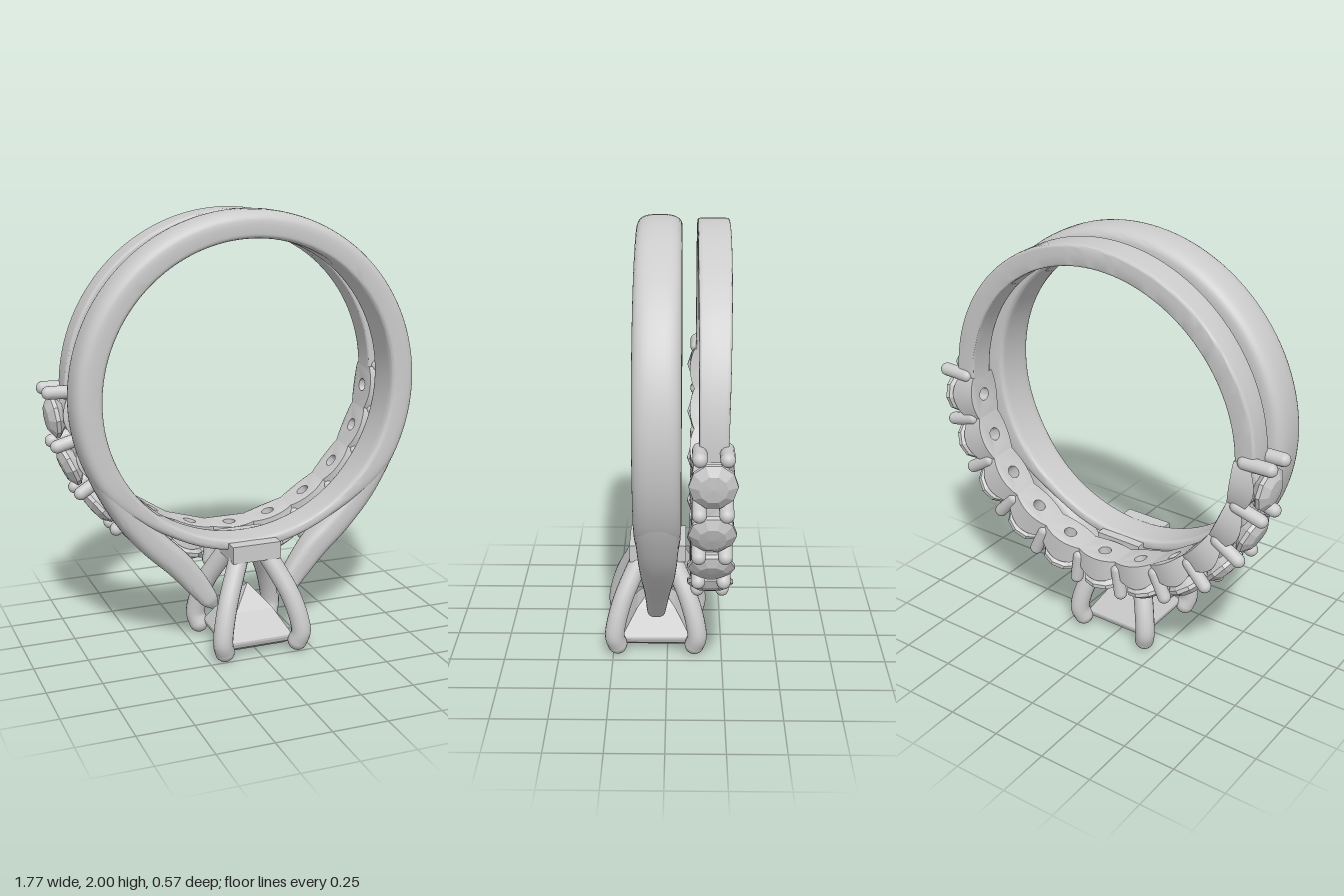
import * as THREE from 'three';
import { toCreasedNormals } from 'three/addons/utils/BufferGeometryUtils.js';

const metal = new THREE.MeshStandardMaterial({ color: 0xcccccc });
const stone = new THREE.MeshStandardMaterial({ color: 0xcccccc, flatShading: true });
const CY = 1.2;        // height of the finger hole's centre
const BAND_Z = -0.188; // depth of the rear band
const { lerp, smoothstep } = THREE.MathUtils;

function add(parent, name, geometry, material = metal) {
  const mesh = new THREE.Mesh(geometry, material);
  mesh.name = name;
  parent.add(mesh);
  return mesh;
}

// Signed power, for superellipse sections
const spow = (v, p) => Math.sign(v) * Math.abs(v) ** p;

// Joins sections { x, y, z, nx, ny, ht, hw }: ht is half thickness along the
// normal, hw is half width in z. Sections run counter-clockwise.
function loft(sections, { closed = false, outer = 0.7, inner = 0.3, sides = 32 } = {}) {
  const list = closed ? [...sections, sections[0]]
    : [{ ...sections[0], ht: 0, hw: 0 }, ...sections, { ...sections.at(-1), ht: 0, hw: 0 }];
  const pos = [], index = [];
  list.forEach((s, i) => {
    for (let k = 0; k <= sides; k++) {
      const b = ((k % sides) / sides) * Math.PI * 2;
      const c = Math.cos(b), p = c > 0 ? outer : inner;
      const t = s.ht * spow(Math.abs(c) < 1e-9 ? 0 : c, p);
      const sn = Math.sin(b);
      pos.push(s.x + s.nx * t, s.y + s.ny * t, s.z + s.hw * spow(Math.abs(sn) < 1e-9 ? 0 : sn, p));
      if (i < list.length - 1 && k < sides) {
        const a = i * (sides + 1) + k, n = a + sides + 1;
        index.push(a, n, a + 1, n, n + 1, a + 1);
      }
    }
  });
  const g = new THREE.BufferGeometry();
  g.setAttribute('position', new THREE.Float32BufferAttribute(pos, 3));
  g.setIndex(index);
  return toCreasedNormals(g, 0.7);
}

// Section of a circular hoop at angle a
function hoopSection(a, r0, r1, hw, z) {
  const nx = Math.cos(a), ny = Math.sin(a), r = (r0 + r1) / 2;
  return { x: nx * r, y: CY + ny * r, z, nx, ny, ht: (r1 - r0) / 2, hw };
}

// Front ring: full hoop, thinner below where the arms leave it
function frontShank() {
  const sections = [];
  for (let i = 0; i < 120; i++) {
    const a = (i / 120) * Math.PI * 2;
    const low = smoothstep(-Math.sin(a), 0.45, 0.9);
    sections.push(hoopSection(a, 0.678, lerp(0.805 - 0.005 * Math.abs(Math.sin(a)), 0.735, low),
      lerp(0.099, 0.08, low), 0.036));
  }
  return loft(sections, { closed: true });
}

// Arm sweeping from the hoop down to the head
function cathedralArm(side) {
  // x, y, half thickness, half width, z
  const stations = [
    [0.165, 0.2, 0.02, 0.022, 0.05], [0.19, 0.235, 0.042, 0.042, 0.05],
    [0.25, 0.32, 0.055, 0.05, 0.046], [0.33, 0.42, 0.062, 0.06, 0.042],
    [0.45, 0.54, 0.064, 0.074, 0.038], [0.56, 0.675, 0.063, 0.085, 0.036],
    [0.645, 0.825, 0.062, 0.093, 0.036], [0.698, 0.95, 0.06, 0.096, 0.036],
  ];
  if (side < 0) stations.reverse();
  const path = new THREE.CatmullRomCurve3(stations.map(s => new THREE.Vector3(s[0] * side, s[1], s[4])));
  const sections = [], steps = 36;
  for (let i = 0; i <= steps; i++) {
    const t = i / steps, p = path.getPoint(t), d = path.getTangent(t);
    const f = t * (stations.length - 1), j = Math.min(Math.floor(f), stations.length - 2);
    const mix = n => lerp(stations[j][n], stations[j + 1][n], f - j);
    const len = Math.hypot(d.x, d.y);
    sections.push({ x: p.x, y: p.y, z: p.z, nx: d.y / len, ny: -d.x / len, ht: mix(2), hw: mix(3) });
  }
  return loft(sections, { outer: 0.75, inner: 0.6 });
}

// Square-cut stone in four curved corner prongs
function buildHead() {
  const head = new THREE.Group();
  head.name = 'head';
  head.position.z = 0.053;
  const q = Math.SQRT2;
  const profile = [[0, 0.014], [0.125, 0.02], [0.152, 0.04], [0.16, 0.06], [0.16, 0.07],
    [0.09, 0.185], [0, 0.29]].map(([x, y]) => new THREE.Vector2(x * q, y));
  add(head, 'centreStone', new THREE.LatheGeometry(profile, 4, Math.PI / 4), stone);
  for (const sx of [-1, 1]) for (const sz of [-1, 1]) {
    const pts = [[0.065, 0.45], [0.105, 0.37], [0.15, 0.27], [0.182, 0.16], [0.19, 0.09], [0.178, 0.046]]
      .map(([d, y]) => new THREE.Vector3(d * sx, y, d * sz));
    add(head, 'cornerProng', new THREE.TubeGeometry(new THREE.CatmullRomCurve3(pts), 28, 0.045, 16));
    add(head, 'prongTip', new THREE.SphereGeometry(0.045, 16, 12)).position.copy(pts.at(-1));
  }
  const base = add(head, 'headBase', new THREE.BoxGeometry(0.23, 0.08, 0.26));
  base.position.set(0, 0.476, -0.008);
  return head;
}

// One scalloped setting of the rear band: pierced plate bent round the hoop
function settingGeometry(step) {
  const h = step / 2, n = 16, shape = new THREE.Shape();
  const width = u => 0.064 + 0.022 * Math.cos((u / h) * Math.PI / 2) ** 0.8;
  const us = Array.from({ length: n + 1 }, (_, i) => -h + (step * i) / n);
  const safe = u => width(Math.max(-h * 0.9999, Math.min(h * 0.9999, u)));
  shape.setFromPoints([
    ...us.map(u => new THREE.Vector2(u, -safe(u))),
    ...us.reverse().map(u => new THREE.Vector2(u, safe(u))),
  ]);
  const hole = new THREE.Path();
  hole.absellipse(0, 0, 0.03 / 0.7, 0.03, 0, Math.PI * 2, true);
  shape.holes.push(hole);
  const g = new THREE.ExtrudeGeometry(shape, { depth: 1, bevelEnabled: false, curveSegments: 10 });
  const p = g.attributes.position;
  for (let i = 0; i < p.count; i++) {
    const u = p.getX(i), z = p.getY(i);
    const top = 0.765 + 0.04 * Math.cos((u / h) * Math.PI / 2);
    const r = lerp(0.69, top, p.getZ(i));
    p.setXYZ(i, Math.cos(u) * r, Math.sin(u) * r, z);
  }
  return toCreasedNormals(g, 0.6);
}

// Rear band: plain upper half, eleven round stones with paired prongs below
function buildRearBand() {
  const band = new THREE.Group();
  band.name = 'rearBand';
  const sections = [];
  for (let i = 0; i <= 64; i++) {
    const a = lerp(-0.02, Math.PI + 0.02, i / 64);
    sections.push(hoopSection(a, 0.69, 0.785, 0.058 + 0.012 * Math.sin(a), lerp(-0.19, -0.197, Math.sin(a))));
  }
  add(band, 'plainBand', loft(sections, { outer: 0.2, inner: 0.15 }));

  const count = 11, start = 0.025, step = (Math.PI + 2 * start) / count;
  const setting = settingGeometry(step);
  const gem = new THREE.LatheGeometry([[0, -0.085], [0.098, -0.01], [0.098, 0.008], [0.058, 0.033], [0, 0.037]]
    .map(([x, y]) => new THREE.Vector2(x, y)), 10);
  gem.rotateZ(-Math.PI / 2).translate(0.83, 0, 0);
  const prong = new THREE.CapsuleGeometry(0.03, 0.12, 6, 14);
  prong.rotateZ(-Math.PI / 2).translate(0.795, 0, 0);

  const spoke = (name, angle) => {
    const g = new THREE.Group();
    g.name = name;
    g.position.set(0, CY, BAND_Z);
    g.rotation.z = angle;
    band.add(g);
    return g;
  };
  for (let i = 0; i <= count; i++) {
    const pair = spoke('prongPair', start - i * step);
    for (const s of [-1, 1]) add(pair, 'bandProng', prong).position.z = s * 0.054;
    if (i === count) break;
    const seat = spoke('stoneSetting', start - (i + 0.5) * step);
    add(seat, 'scallopedSeat', setting);
    add(seat, 'roundStone', gem, stone);
  }
  return band;
}

export function createModel() {
  const model = new THREE.Group();
  model.name = 'ringPair';
  const front = new THREE.Group();
  front.name = 'frontRing';
  add(front, 'shank', frontShank());
  add(front, 'leftArm', cathedralArm(1));
  add(front, 'rightArm', cathedralArm(-1));
  front.add(buildHead());
  model.add(front, buildRearBand());
  return model;
}
